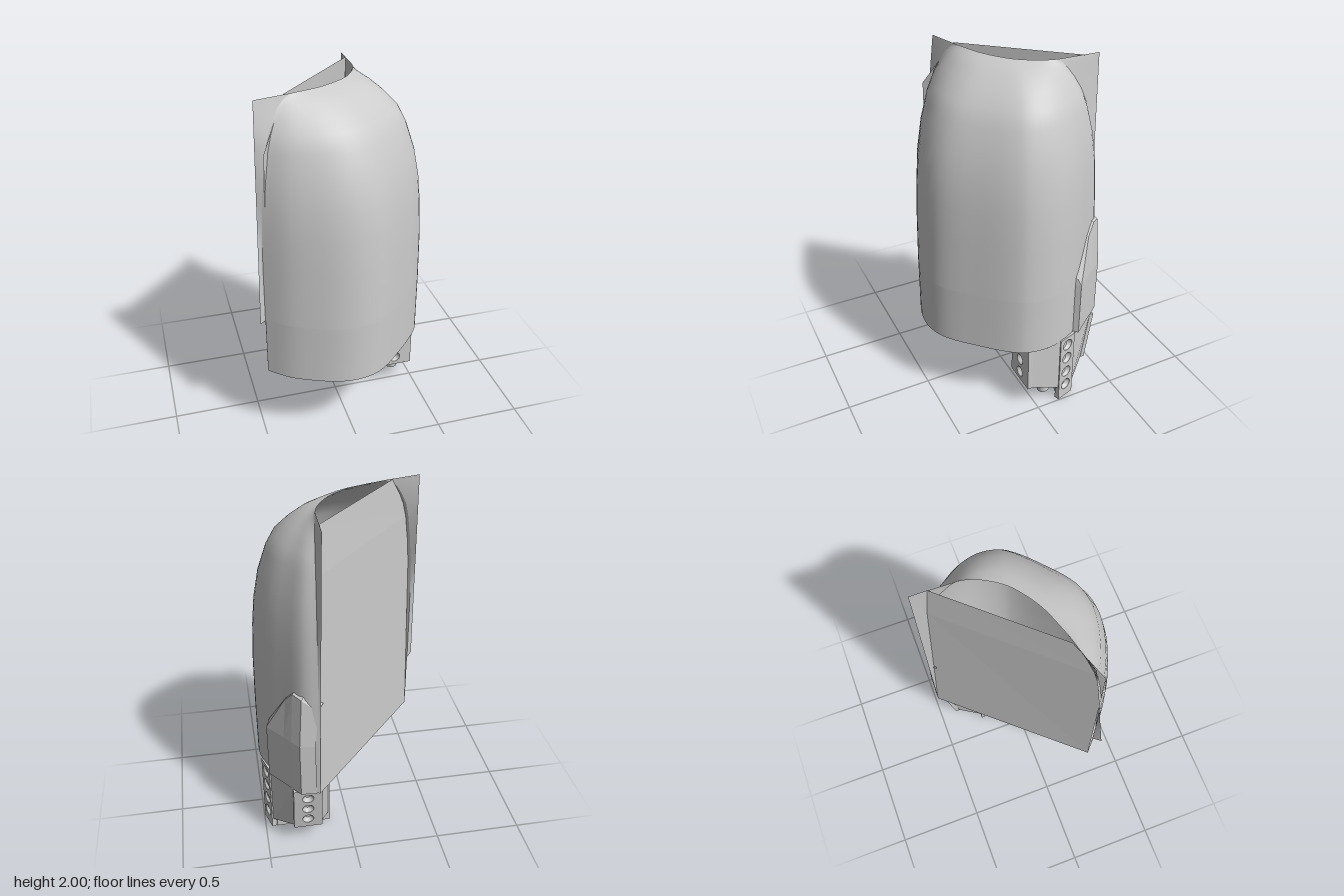
import * as THREE from 'three';
import { ConvexGeometry } from 'three/addons/geometries/ConvexGeometry.js';

const grey = new THREE.MeshStandardMaterial({ color: 0xcccccc, side: THREE.DoubleSide });
const V = (x, y, z) => new THREE.Vector3(x, y, z);

function add(parent, name, geometry) {
  const mesh = new THREE.Mesh(geometry, grey);
  mesh.name = name;
  parent.add(mesh);
  return mesh;
}

// Skin a surface over rows that hold equal numbers of points
function loft(rows, flat = false) {
  const n = rows[0].length, index = [];
  for (let r = 0; r < rows.length - 1; r++)
    for (let c = 0; c < n - 1; c++) {
      const a = r * n + c, b = a + n;
      index.push(a, a + 1, b + 1, a, b + 1, b);
    }
  let g = new THREE.BufferGeometry().setFromPoints(rows.flat());
  g.setIndex(index);
  if (flat) g = g.toNonIndexed();
  g.computeVertexNormals();
  return g;
}

// Piecewise-linear lookup in [[key, value...], ...]
function lookup(table, key) {
  let i = 0;
  while (i < table.length - 2 && key > table[i + 1][0]) i++;
  const [a, b] = [table[i], table[i + 1]];
  const f = THREE.MathUtils.clamp((key - a[0]) / (b[0] - a[0]), 0, 1);
  return a.slice(1).map((v, k) => v + (b[k + 1] - v) * f);
}

// Plate pierced by a column of round holes, each lined with a funnel
function ventPlate(name, w, h, holeYs, r, depth) {
  const group = new THREE.Group();
  group.name = name;
  const s = new THREE.Shape();
  s.moveTo(-w / 2, -h / 2).lineTo(w / 2, -h / 2).lineTo(w / 2, h / 2).lineTo(-w / 2, h / 2).closePath();
  for (const y of holeYs) {
    s.holes.push(new THREE.Path().absarc(0, y, r, 0, Math.PI * 2, true));
    const funnel = new THREE.CylinderGeometry(r, r * 0.45, depth * 0.9, 20, 1, true);
    funnel.rotateX(Math.PI / 2).translate(0, y, depth * 0.5);
    add(group, 'ventFunnel', funnel);
  }
  add(group, 'ventFace', new THREE.ExtrudeGeometry(s, { depth, bevelEnabled: false, curveSegments: 10 }));
  return group;
}

export function createModel() {
  const model = new THREE.Group();
  const floorY = 0.445;

  // Curved shell: plan outline at the hem shrinks to the rim of the top opening
  const hem = [[-0.47, 0.27], [-0.36, 0.365], [-0.23, 0.43], [-0.11, 0.472], [0, 0.483], [0.11, 0.458],
    [0.2, 0.4], [0.3, 0.305], [0.38, 0.225], [0.44, 0.155], [0.485, 0.08], [0.503, -0.04], [0.487, -0.14],
    [0.44, -0.25], [0.36, -0.36], [0.28, -0.46], [0.2, -0.49]];
  const rim = new THREE.CatmullRomCurve3([[-0.27, 0.13], [-0.1, 0.07], [0, 0.01], [0.07, -0.05],
    [0.14, -0.16], [0.165, -0.24]].map(([x, z]) => V(x, 2, z)));
  // Height, then how far x and z have moved from hem to rim
  const taper = [[floorY, 0, 0], [0.79, 0, 0.012], [0.8, 0, 0.012], [1.1, 0.01, 0.04], [1.3, 0.035, 0.075],
    [1.45, 0.07, 0.115], [1.6, 0.135, 0.2], [1.75, 0.25, 0.34], [1.83, 0.35, 0.47], [1.9, 0.52, 0.64],
    [1.95, 0.68, 0.79], [1.98, 0.83, 0.9], [2, 1, 1]];
  const hemCurve = new THREE.CatmullRomCurve3(hem.map(([x, z]) => V(x, floorY, z)));
  const columns = 40;
  const shellRows = taper.map(([y, tx, tz]) => Array.from({ length: columns + 1 }, (_, i) => {
    const p = hemCurve.getPoint(i / columns), q = rim.getPointAt(i / columns);
    return V(p.x + (q.x - p.x) * tx, y, p.z + (q.z - p.z) * tz);
  }));
  add(model, 'shell', loft(shellRows));

  // Closed underside of the shell
  const floorShape = new THREE.Shape(hem.map(([x, z]) => new THREE.Vector2(x, -z)));
  add(model, 'shellFloor', new THREE.ShapeGeometry(floorShape).rotateX(-Math.PI / 2).translate(0, floorY, 0));

  // Upright wings that run from the shell's two rear edges to straight outer edges
  const leftEdge = [[floorY, -0.47, 0.27], [0.79, -0.47, 0.275], [0.8, -0.505, 0.31], [2, -0.46, 0.18]];
  const rightEdge = [[floorY, 0.2, -0.49], [2, 0.17, -0.48]];
  const wing = (edge, column) => loft(shellRows.map((row) => {
    const p = row[column], [x, z] = lookup(edge, p.y);
    return [p, V(x, p.y, z)];
  }));
  add(model, 'innerWing', wing(leftEdge, 0));
  add(model, 'outerWing', wing(rightEdge, columns));

  // Broad back plate, leaning slightly inward, with one top corner cut off
  const plateEdges = [[floorY, -0.47, 0.27, 0.2, -0.49], [1.75, -0.435, 0.262, 0.176, -0.417],
    [2, -0.3, 0.13, 0.17, -0.39]];
  add(model, 'backPlate', loft(plateEdges.map(([y, x0, z0, x1, z1]) => [V(x0, y, z0), V(x1, y, z1)]), true));

  // Narrow strip closing the gap between the back plate and the outer wing
  add(model, 'plateReturn', loft(plateEdges.map(([y, , , x, z]) => {
    const [wx, wz] = lookup(rightEdge, y);
    return [V(x, y, z), V(wx, y, wz)];
  }), true));

  // Raised guard on the rear outer side, its top sinking into the shell
  const guard = [[0.435, -0.24, 0.8], [0.463, -0.272, 0.82], [0.38, -0.38, 1.02], [0.345, -0.43, 1.08],
    [0.305, -0.48, 1.07], [0.22, -0.49, 1.0]];
  const guardRow = (inset, height) => guard.map(([x, z, y]) => V(x - inset, height(y), z + inset * 0.85));
  add(model, 'sideGuard', loft([
    guardRow(0.05, () => floorY),
    guardRow(0, () => floorY),
    guardRow(0, () => 0.78),
    guardRow(0.018, (y) => y),
    guardRow(0.05, (y) => y + 0.03),
  ], true));

  // Vent housing under the shell: wedge in the centre, tapered blocks before and behind
  const housing = new THREE.Group();
  housing.name = 'ventHousing';
  model.add(housing);
  const block = (name, sections) => add(housing, name, new ConvexGeometry(
    sections.flatMap(([x0, x1, y, z0, z1 = z0]) => [V(x0, y, z0), V(x1, y, z1)])));
  block('centreWedge', [0, 0.45].flatMap((y) => [[0.11, 0.466, y, -0.225, -0.146], [0.11, 0.432, y, -0.245]]));
  block('frontBlock', [[0.27, 0.475, 0.45, 0.03], [0.27, 0.475, 0.15, 0.03],
    [0.19, 0.49, 0.45, -0.14], [0.19, 0.49, 0.09, -0.14],
    [0.19, 0.455, 0.45, -0.2], [0.19, 0.455, 0.08, -0.2]]);
  block('rearBlock', [[0.12, 0.455, 0.45, -0.245], [0.12, 0.455, 0.06, -0.245],
    [0.18, 0.345, 0.12, -0.375], [0.18, 0.345, 0.45, -0.425]]);

  // Pierced faces on the front, outer side and rear
  const frontVent = ventPlate('frontVents', 0.205, 0.3, [0.095, 0, -0.095], 0.033, 0.03);
  frontVent.position.set(0.3725, 0.3, 0.03);
  const sideVent = ventPlate('sideVents', 0.115, 0.45, [0.168, 0.07, -0.035, -0.135], 0.036, 0.03);
  sideVent.position.set(0.45, 0.225, -0.185);
  sideVent.rotation.y = Math.PI / 2 + 0.3;
  const rearVent = ventPlate('rearVents', 0.165, 0.32, [0.09, 0, -0.09], 0.033, 0.025);
  rearVent.position.set(0.2625, 0.28, -0.4);
  rearVent.rotation.set(-0.15, Math.PI, 0);
  housing.add(frontVent, sideVent, rearVent);

  // Pair of short nozzles below the front block
  for (const x of [0.3, 0.4]) {
    const nozzle = add(housing, 'nozzle', new THREE.CylinderGeometry(0.034, 0.038, 0.065, 20));
    nozzle.position.set(x, 0.072, -0.08);
    nozzle.rotation.x = 0.2;
  }
  return model;
}
